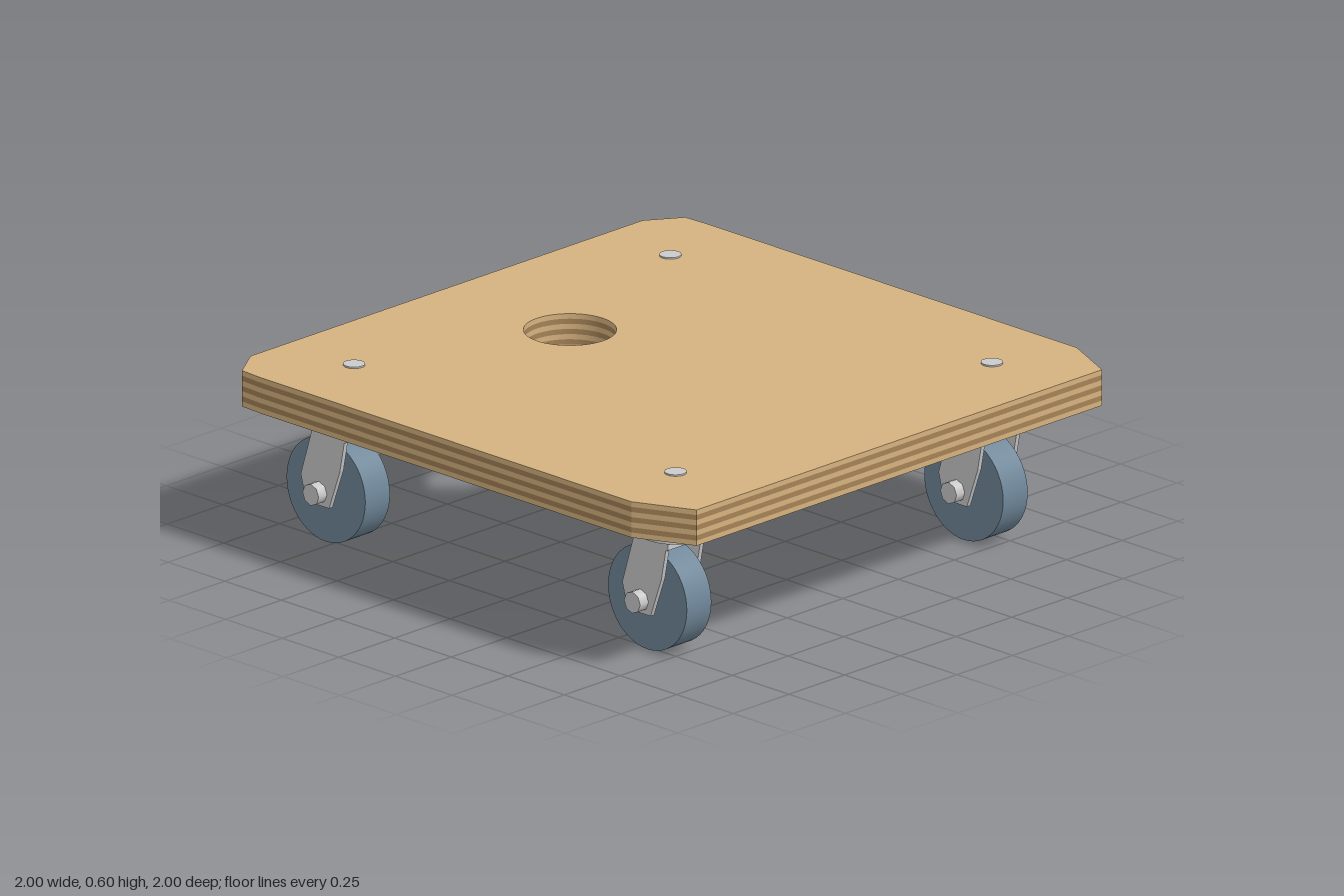
import * as THREE from 'three';

const metal = new THREE.MeshStandardMaterial({ color: 0xcccccc });
const rubber = new THREE.MeshStandardMaterial({ color: 0x70889a });
const woodLight = new THREE.MeshStandardMaterial({ color: 0xd5b27f });
const woodDark = new THREE.MeshStandardMaterial({ color: 0xa58257 });

function add(parent, name, geometry, material, x = 0, y = 0, z = 0) {
  const mesh = new THREE.Mesh(geometry, material);
  mesh.name = name;
  mesh.position.set(x, y, z);
  parent.add(mesh);
  return mesh;
}

// Cylinder lying along x
function axial(radius, length, sides) {
  return new THREE.CylinderGeometry(radius, radius, length, sides).rotateZ(Math.PI / 2);
}

function polygon(points) {
  return new THREE.Shape(points.map(([x, y]) => new THREE.Vector2(x, y)));
}

// Plywood board: stacked plies with clipped corners and a round grip hole
function createBoard() {
  const board = new THREE.Group();
  board.name = 'board';
  const outline = polygon([
    [-0.91, -1], [0.91, -1], [1, -0.8], [1, 0.84], [0.995, 0.925],
    [0.88, 1], [-0.88, 1], [-0.995, 0.925], [-1, 0.84], [-1, -0.8],
  ]);
  const hole = new THREE.Path();
  hole.absarc(0, 0.455, 0.147, 0, Math.PI * 2, true);
  outline.holes.push(hole);
  const plies = 7, bottom = 0.475, thickness = 0.12 / plies;
  for (let i = 0; i < plies; i++) {
    const ply = new THREE.ExtrudeGeometry(outline, {
      depth: thickness, bevelEnabled: false, curveSegments: 48,
    }).rotateX(-Math.PI / 2);
    add(board, 'ply', ply, i % 2 ? woodDark : woodLight, 0, bottom + i * thickness, 0);
  }
  return board;
}

// Swivel caster, origin on the floor under the swivel axis, wheel trailing to -z
function createCaster() {
  const caster = new THREE.Group();
  caster.name = 'caster';
  const axleY = 0.174, axleZ = -0.07;

  add(caster, 'swivelHousing', new THREE.CylinderGeometry(0.115, 0.115, 0.08, 40), metal, 0, 0.435, 0);
  add(caster, 'forkBridge', new THREE.BoxGeometry(0.18, 0.025, 0.15), metal, 0, 0.383, -0.02);
  add(caster, 'kingpinNut', new THREE.CylinderGeometry(0.03, 0.03, 0.015, 16), metal, 0, 0.364, 0);
  add(caster, 'mountingBolt', new THREE.CylinderGeometry(0.035, 0.035, 0.006, 24), metal, 0, 0.597, 0);

  // Raked fork cheeks, profile drawn as (z, y)
  const cheek = polygon([
    [0.055, 0.395], [0.055, 0.37], [0.042, 0.365], [0.023, 0.265],
    [-0.025, 0.13], [-0.127, 0.13], [-0.15, 0.215], [-0.095, 0.395],
  ]);
  const cheekGeometry = new THREE.ExtrudeGeometry(cheek, { depth: 0.016, bevelEnabled: false })
    .translate(0, 0, -0.008).rotateY(-Math.PI / 2);
  for (const side of [-1, 1]) {
    add(caster, 'forkCheek', cheekGeometry, metal, side * 0.079, 0, 0);
    add(caster, 'axleNut', axial(0.036, 0.037, 8), metal, side * 0.1055, axleY, axleZ);
  }

  add(caster, 'axle', axial(0.02, 0.2, 16), metal, 0, axleY, axleZ);
  add(caster, 'wheel', axial(0.174, 0.11, 48), rubber, 0, axleY, axleZ);
  return caster;
}

export function createModel() {
  const model = new THREE.Group();
  model.name = 'dolly';
  model.add(createBoard());
  for (const x of [-0.71, 0.71]) {
    for (const z of [-0.71, 0.71]) {
      const caster = createCaster();
      caster.position.set(x, 0, z);
      model.add(caster);
    }
  }
  return model;
}
